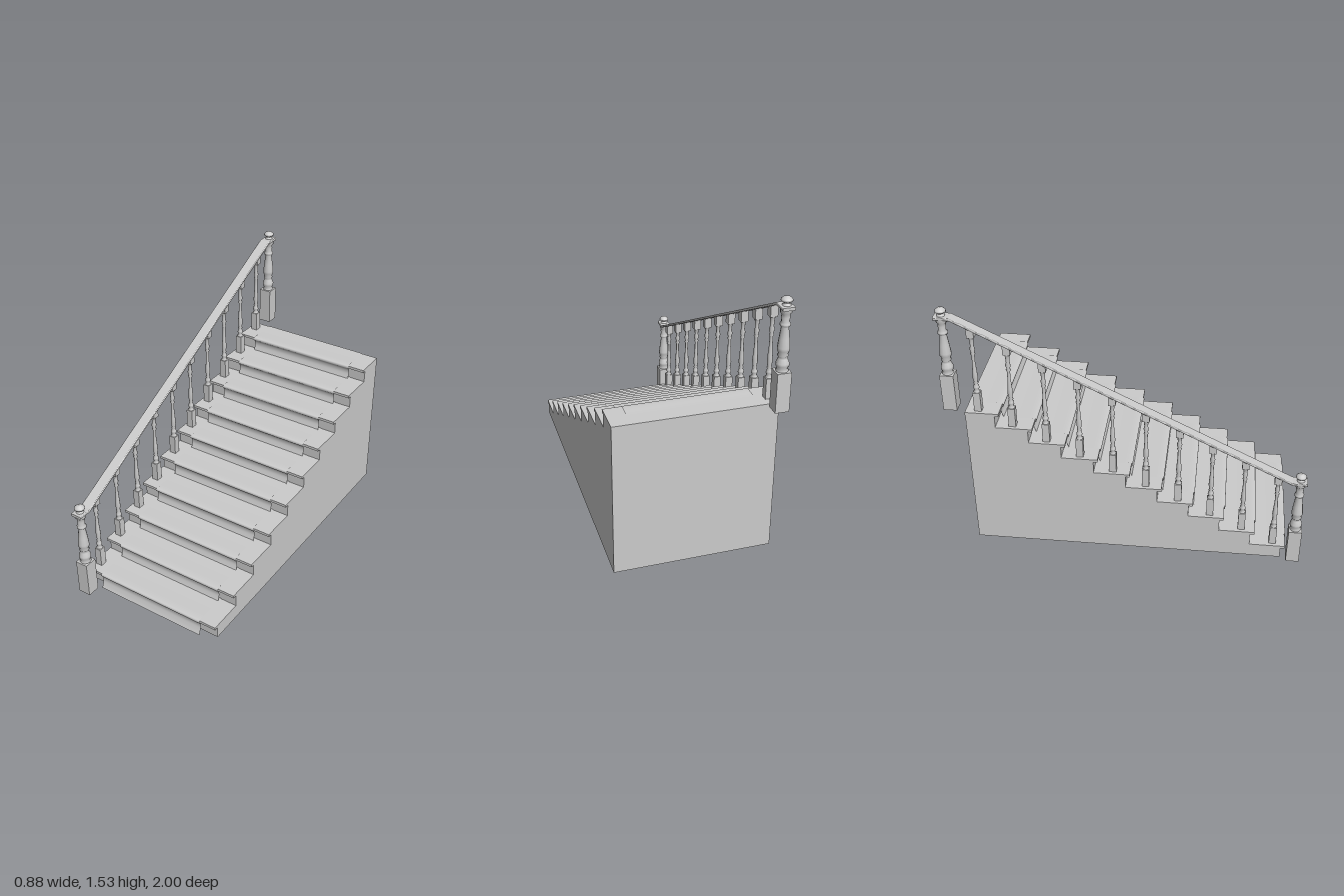
import * as THREE from 'three';

const grey = new THREE.MeshStandardMaterial({ color: 0xcccccc });
const sheet = new THREE.MeshStandardMaterial({ color: 0xcccccc, side: THREE.DoubleSide });

const STEPS = 10, RISE = 0.089, RUN = 0.179;
const FRONT = 0.912, BACK = -0.885, BASE = 0.025, TOP = 0.11;
const NOSE = 0.024, TREAD = 0.016, RAIL_X = -0.405;
const noseZ = i => FRONT - i * RUN;
const treadY = i => TOP + i * RISE;

function add(parent, name, geometry, x = 0, y = 0, z = 0, material = grey) {
  const mesh = new THREE.Mesh(geometry, material);
  mesh.name = name;
  mesh.position.set(x, y, z);
  parent.add(mesh);
  return mesh;
}

// Extrudes a side profile of [z, y] points across x, centred on x = 0
function sideExtrude(points, width, bevel = 0) {
  const shape = new THREE.Shape(points.map(p => new THREE.Vector2(...p)));
  const depth = width - 2 * bevel;
  const g = new THREE.ExtrudeGeometry(shape, {
    depth, bevelEnabled: bevel > 0, bevelSize: bevel, bevelThickness: bevel,
    bevelOffset: -bevel, bevelSegments: 3,
  });
  return g.translate(0, 0, -depth / 2).rotateY(-Math.PI / 2);
}

const turned = (points, sides) =>
  new THREE.LatheGeometry(points.map(p => new THREE.Vector2(...p)), sides);

// Solid stepped body under the treads
function stairBody() {
  const pts = [[BACK, BASE], [noseZ(0) - NOSE, BASE]];
  for (let i = 0; i < STEPS; i++) {
    const y = treadY(i) - TREAD;
    pts.push([noseZ(i) - NOSE, y]);
    pts.push([i < STEPS - 1 ? noseZ(i + 1) - NOSE : BACK, y]);
  }
  return sideExtrude(pts.reverse(), 0.88);
}

// Carpet of one step: along the tread, round the nosing, flaring at the foot
function carpetGeometry(depth) {
  const curve = new THREE.CatmullRomCurve3([
    [-depth, 0.003], [-depth * 0.5, 0.003], [-0.008, 0.004], [0.004, -0.002],
    [0.005, -0.014], [-0.006, -0.026], [-0.01, -0.05], [-0.003, -0.075], [0.008, -0.1],
  ].map(([z, y]) => new THREE.Vector3(0, y, z)), false, 'centripetal');
  const n = 40;
  const g = new THREE.PlaneGeometry(0.68, 1, 1, n);
  const pos = g.attributes.position;
  for (let r = 0; r <= n; r++) {
    const p = curve.getPoint(r / n);
    for (let c = 0; c < 2; c++) pos.setXYZ(r * 2 + c, pos.getX(r * 2 + c), p.y, p.z);
  }
  g.computeVertexNormals();
  return g;
}

// Newel post: square foot, turned shaft, cap plate and finial
function newelPost(name, y, z) {
  const post = new THREE.Group();
  post.name = name;
  post.position.set(RAIL_X, y, z);
  add(post, 'newelFoot', new THREE.BoxGeometry(0.075, 0.217, 0.075), 0, 0.1085, 0);
  add(post, 'newelShaft', turned([
    [0.03, 0.215], [0.033, 0.222], [0.026, 0.23], [0.034, 0.248], [0.034, 0.262],
    [0.025, 0.285], [0.023, 0.295], [0.029, 0.302], [0.024, 0.312], [0.032, 0.33],
    [0.032, 0.345], [0.027, 0.39], [0.019, 0.452], [0.027, 0.46], [0.027, 0.47],
    [0.02, 0.48], [0.023, 0.505], [0.02, 0.518], [0.029, 0.528], [0.029, 0.55],
  ], 12), 0, 0, 0);
  add(post, 'newelFinial', turned([
    [0.022, 0.56], [0.022, 0.567], [0.014, 0.573], [0.016, 0.579], [0.03, 0.587],
    [0.029, 0.596], [0.019, 0.605], [0, 0.612],
  ], 12));
  return post;
}

// Baluster: square foot, slim turned shaft, square head reaching the rail
function baluster(y, z, height) {
  const b = new THREE.Group();
  b.name = 'baluster';
  b.position.set(RAIL_X, y, z);
  const s = height - 0.055;
  add(b, 'balusterFoot', new THREE.BoxGeometry(0.04, 0.115, 0.04), 0, 0.0575, 0);
  add(b, 'balusterShaft', turned([
    [0.017, 0.113], [0.019, 0.12], [0.011, 0.128], [0.017, 0.142], [0.016, 0.152],
    [0.01, 0.165], [0.014, 0.172], [0.01, 0.18], [0.015, 0.205], [0.013, 0.24],
    [0.009, 0.3], [0.009, 0.345], [0.014, 0.353], [0.009, 0.362], [0.015, 0.382],
    [0.01, 0.4], [0.012, s - 0.015], [0.019, s + 0.002],
  ], 10));
  // Head with its top cut to the slope of the rail
  add(b, 'balusterHead', sideExtrude([
    [-0.02, s], [0.02, s], [0.02, height - 0.01], [-0.02, height + 0.01],
  ], 0.04));
  return b;
}

export function createModel() {
  const model = new THREE.Group();
  model.name = 'staircase';

  add(model, 'stairBody', stairBody());
  for (let i = 0; i < STEPS; i++) {
    const last = i === STEPS - 1;
    const back = last ? BACK : noseZ(i + 1) - NOSE;
    const depth = noseZ(i) - back;
    add(model, 'tread', new THREE.BoxGeometry(0.885, TREAD, depth),
      -0.0025, treadY(i) - TREAD / 2, noseZ(i) - depth / 2);
    add(model, 'carpet', carpetGeometry(depth), 0, treadY(i), noseZ(i), sheet);
  }

  // Railing
  const railing = new THREE.Group();
  railing.name = 'railing';
  model.add(railing);
  railing.add(newelPost('frontNewel', 0, 0.9625), newelPost('backNewel', 0.92, -0.9625));
  const railUnder = z => 0.549 + (0.92 - z) * 0.5;
  for (let i = 0; i < STEPS; i++) {
    const z = 0.84 - i * 0.1839;
    railing.add(baluster(treadY(i), z, railUnder(z) - treadY(i) + 0.004));
  }
  const t = 0.017;
  add(railing, 'handrail', sideExtrude([
    [1, 0.547], [1, 0.547 + t], [0.917, 0.547 + t], [-0.917, 1.467 + t], [-1, 1.467 + t],
    [-1, 1.467], [-0.913, 1.467], [0.921, 0.547],
  ], 0.066, 0.004), RAIL_X);

  return model;
}
